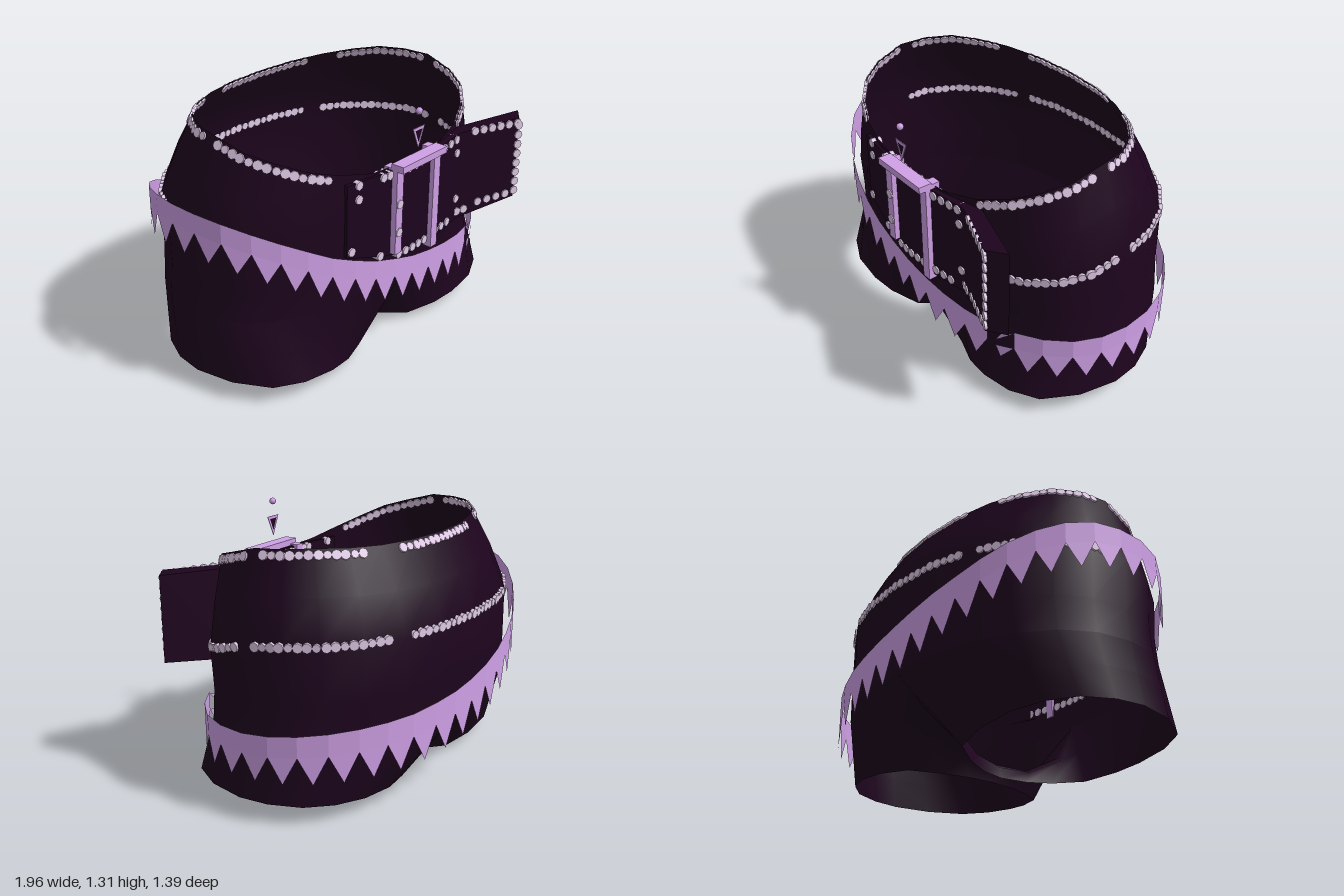
import * as THREE from 'three';
import { mergeGeometries } from 'three/addons/utils/BufferGeometryUtils.js';

const V = (x, y, z) => new THREE.Vector3(x, y, z);
const lerp = THREE.MathUtils.lerp;
const spow = (v, e) => Math.sign(v) * Math.abs(v) ** e;

// Piecewise linear lookup in a short list of [input, output] pairs
function lookup(table, v) {
  if (v <= table[0][0]) return table[0][1];
  for (let i = 1; i < table.length; i++) {
    const [a, b] = [table[i - 1], table[i]];
    if (v <= b[0]) return lerp(a[1], b[1], (v - a[0]) / (b[0] - a[0]));
  }
  return table[table.length - 1][1];
}

// Skin over closed loops with equal point counts
function loft(loops, caps = false) {
  const n = loops[0].length, idx = [];
  for (let r = 0; r < loops.length - 1; r++) for (let i = 0; i < n; i++) {
    const j = (i + 1) % n, a = r * n + i, b = r * n + j;
    idx.push(a, a + n, b, b, a + n, b + n);
  }
  if (caps) for (let i = 1; i < n - 1; i++) {
    const e = (loops.length - 1) * n;
    idx.push(0, i, i + 1, e, e + i + 1, e + i);
  }
  const g = new THREE.BufferGeometry().setFromPoints(loops.flat());
  g.setIndex(idx);
  g.computeVertexNormals();
  return g;
}

// Oval rings from waistband to hip: half width, front z, back z, centre z
const RINGS = [
  [0.79, 0.55, -0.44, 0.06], [0.865, 0.55, -0.56, 0.05], [0.935, 0.54, -0.64, 0.03],
  [0.93, 0.53, -0.64, 0.02], [0.95, 0.53, -0.62, 0.01],
];
const STEP = Math.PI / 12;
const RIM = [[-0.44, 1.265], [-0.2, 1.285], [0.08, 1.27], [0.37, 1.18], [0.5, 1.09], [0.55, 1.04]];
const SEAM = [[-0.6, 0.885], [-0.05, 0.87], [0.08, 0.84], [0.5, 0.71], [0.55, 0.69]];

// Oval with a squarer front and a rounder back
function oval(t, [a, zf, zb, cz]) {
  const c = Math.cos(t), e = 2 / (c > 0 ? 2.45 : 2.15), k = spow(c, e);
  return V(a * spow(Math.sin(t), e), 0, cz + k * (c > 0 ? zf - cz : cz - zb));
}
function bodyPoint(t, row) {
  const pt = oval(t, RINGS[row]);
  const rim = lookup(RIM, oval(t, RINGS[0]).z), seam = lookup(SEAM, oval(t, RINGS[2]).z);
  pt.y = [rim, (rim + seam) / 2, seam, lerp(seam, 0.42, 0.6), 0.42][row];
  return pt;
}
// Point on the faceted cloth, a fraction of the way down to the next ring
function clothPoint(t, row, down) {
  const i = Math.floor(t / STEP), k = t / STEP - i;
  const edge = r => bodyPoint(i * STEP, r).lerp(bodyPoint((i + 1) * STEP, r), k);
  return edge(row).lerp(edge(row + 1), down);
}

// Leg opening outline, outer front to outer back, then inner thigh
const HEM = [[0.2, 0.42], [0.36, 0.485], [0.5, 0.505], [0.68, 0.49], [0.83, 0.42], [0.93, 0.25], [0.97, 0.05],
  [0.95, -0.1], [0.88, -0.25], [0.76, -0.35], [0.6, -0.41], [0.4, -0.42], [0.22, -0.38],
  [0.12, -0.25], [0.06, -0.12], [0.04, 0], [0.06, 0.15], [0.11, 0.28]];
const CROTCH = [[0.27, -0.43], [0.13, -0.2], [0.09, 0], [0.1, 0.2], [0.22, 0.42]];

function legGeometry(side) {
  const top = [];
  for (let i = 0; i <= 12; i++) top.push(bodyPoint(i * STEP, 4));
  CROTCH.forEach(([y, z]) => top.push(V(0, y, z)));
  const hem = HEM.map(([x, z]) => V(x, 0.005 + 0.105 * x / 0.97 + 0.06 * z * z, z));
  // The inner thigh turns down sharply beside the crotch
  const mid = top.map((p, i) => {
    const m = p.clone().lerp(hem[i], 0.5);
    if (i > 12) m.set(hem[i].x * 0.85, lerp(p.y, hem[i].y, 0.3), m.z);
    return m;
  });
  return loft([top, mid, hem].map(l => l.map(p => V(p.x * side, p.y, p.z))));
}

// Flat round stud facing along a direction
function stud(pos, dir, r, depth) {
  const o = new THREE.Object3D();
  o.position.copy(pos);
  o.lookAt(pos.clone().add(dir));
  o.scale.set(r, r, depth);
  o.updateMatrix();
  return new THREE.CylinderGeometry(1, 1, 1, 8).rotateX(Math.PI / 2).applyMatrix4(o.matrix);
}

function studRow(ranges, row, down) {
  const out = [];
  for (const [t0, t1] of ranges) {
    let last = null;
    for (let t = t0; t <= t1; t += 0.004) {
      const p = clothPoint(t, row, down);
      if (last && p.distanceTo(last) < 0.041) continue;
      last = p;
      const along = clothPoint(t + 0.01, row, down).sub(p), fall = clothPoint(t, row, down + 0.1).sub(p);
      out.push(stud(p, fall.cross(along), out.length % 3 ? 0.024 : 0.02, 0.018));
    }
  }
  return mergeGeometries(out);
}

// Front belt stations: x, front z, back x, back z, bottom y, top y
const BELT = [
  [-0.43, 0.525, -0.42, 0.49, 0.67, 1.04], [-0.2, 0.56, -0.2, 0.53, 0.6, 1.04],
  [0, 0.575, 0, 0.54, 0.55, 1.04], [0.2, 0.567, 0.2, 0.53, 0.55, 1.04],
  [0.42, 0.55, 0.47, 0.485, 0.57, 1.05], [0.75, 0.685, 0.84, 0.62, 0.625, 1.07],
];
const BELT_Z = BELT.map(b => [b[0], b[1]]);

// Height of the spiked sash's top edge
const SASH = [[-1, 0.98], [-0.8, 0.865], [-0.5, 0.7], [-0.25, 0.605], [0, 0.535], [0.2, 0.5], [0.5, 0.465], [1, 0.45]];

function sashGeometry() {
  const pts = [];
  for (let i = 0; i < 96; i++) {
    const p = oval(i * Math.PI / 48, [0.98, 0.59, -0.685, 0]);
    p.y = lookup(SASH, p.x) + Math.max(0, -p.z) * 0.09;
    pts.push(p);
  }
  const curve = new THREE.CatmullRomCurve3(pts, true), n = 38, tri = [];
  const down = (p, d) => V(p.x, p.y - d, p.z);
  // The band is a little deeper at the back
  const drop = (p, d) => down(p, d * (1 + Math.max(0, -p.z) * 0.25));
  for (let i = 0; i < n; i++) {
    const [a, m, b] = [0, 0.5, 1].map(k => curve.getPointAt(((i + k) / n) % 1));
    if (m.z > 0 && m.x > 0.52 && m.x < 0.69) {
      // broken stretch with loose shards
      const c = a.clone().lerp(b, 0.3);
      tri.push(down(a, 0.01), down(c, 0.045), down(m, 0.01), down(m, 0.04), down(c, 0.09), down(b, 0.01),
        down(c, 0.12), down(m, 0.18), down(b, 0.1));
      continue;
    }
    const [la, lb] = [drop(a, 0.1), drop(b, 0.1)];
    tri.push(a, la, b, b, la, lb, la, drop(m, 0.225), lb);
  }
  const g = new THREE.BufferGeometry().setFromPoints(tri);
  g.computeVertexNormals();
  return g;
}

export function createModel() {
  const group = new THREE.Group();
  const mat = (name, color, side = THREE.FrontSide) => {
    const m = new THREE.MeshStandardMaterial({ color, side });
    m.name = name;
    return m;
  };
  const cloth = mat('darkPlum', 0x1d041d, THREE.DoubleSide);
  const lilac = mat('lilac', 0xcfa0e6, THREE.DoubleSide);
  const pale = mat('paleLilac', 0xe4cdeb);
  const add = (name, geo, m) => {
    const mesh = new THREE.Mesh(geo, m);
    mesh.name = name;
    group.add(mesh);
  };

  // Shorts
  add('shortsBody', loft(RINGS.map((_, r) =>
    Array.from({ length: 24 }, (_, i) => bodyPoint(i * STEP, r)))), cloth);
  add('leftLeg', legGeometry(1), cloth);
  add('rightLeg', legGeometry(-1), cloth);

  // Stud rows on waistband and hip
  const TAU = Math.PI * 2;
  const rimHalf = [[0.55, 1.53], [1.66, 2.5]];
  const rimRanges = [...rimHalf, [2.77, 3.52], ...rimHalf.map(([a, b]) => [TAU - b, TAU - a])];
  add('waistbandStuds', studRow(rimRanges, 0, 0.14), pale);
  add('hipStuds', studRow([[0.62, 1.5], [1.66, 2.55], [2.68, 3.6], [3.73, 4.6]], 2, 0), pale);

  // Front belt with its loose end
  const belt = loft(BELT.map(([x, z, bx, bz, y0, y1]) =>
    [V(x, y0, z), V(x, y1, z), V(bx, y1, bz), V(bx, y0, bz)]), true).toNonIndexed();
  belt.computeVertexNormals();
  add('frontBelt', belt, cloth);

  // Belt studs as lines: x0, y0, x1, y1, count; those on the body pass through the cloth
  const lines = [[-0.36, 1.025, -0.36, 0.955, 2], [-0.21, 1.02, -0.17, 1.02, 2], [-0.08, 1.015, 0.11, 1.02, 5],
    [0.21, 1.015, 0.38, 1.025, 4], [0.39, 0.95, 0.4, 0.69, 2], [0.5, 1.045, 0.74, 1.045, 6],
    [0.75, 1.03, 0.75, 0.66, 8], [0.54, 0.64, 0.7, 0.65, 4], [0.21, 0.585, 0.32, 0.59, 3],
    [0.42, 0.61, 0.46, 0.615, 2], [-0.09, 0.575, 0.11, 0.575, 5], [-0.4, 0.695, -0.22, 0.61, 2]];
  const beltStuds = [];
  for (const [x0, y0, x1, y1, n] of lines) for (let i = 0; i < n; i++) {
    const k = i / (n - 1), x = lerp(x0, x1, k), loose = x > 0.41;
    const pos = V(x, lerp(y0, y1, k), lookup(BELT_Z, x) - (loose ? 0 : 0.02));
    beltStuds.push(stud(pos, V(loose ? -0.4 : x * 0.2, 0, 1), 0.023, loose ? 0.014 : 0.055));
  }
  add('beltStuds', mergeGeometries(beltStuds), pale);

  // Buckle frame: centre x, centre y, centre z, width, height, depth
  const bars = [[-0.128, 0.825, 0.555, 0.05, 0.45, 0.08], [0.165, 0.795, 0.555, 0.05, 0.54, 0.08],
    [0.018, 1.056, 0.595, 0.345, 0.034, 0.07]];
  for (const [x, y, z, w, h, d] of bars)
    add('buckleBar', new THREE.BoxGeometry(w, h, d).translate(x, y, z), lilac);
  const rivets = [0.865, 0.715].map(y => stud(V(-0.128, y, 0.595), V(0, 0, 1), 0.024, 0.012));
  add('buckleRivets', mergeGeometries(rivets), pale);

  // Spiked sash
  add('spikedSash', sashGeometry(), lilac);

  // Floating charm: flat triangle frame, dark centre and bead
  const triangle = (s, path) => [[-0.045, 1.22], [0.045, 1.22], [0, 1.115]].forEach(([x, y], i) =>
    path[i ? 'lineTo' : 'moveTo'](x * s, 1.185 + (y - 1.185) * s));
  const frame = new THREE.Shape(), centre = new THREE.Shape();
  triangle(1, frame);
  triangle(0.6, centre);
  frame.holes.push(centre);
  add('charmTriangle', new THREE.ExtrudeGeometry(frame, { depth: 0.004, bevelEnabled: false })
    .translate(0, 0, 0.592), lilac);
  add('charmCentre', new THREE.ShapeGeometry(centre).translate(0, 0, 0.594), cloth);
  add('charmBead', new THREE.SphereGeometry(0.018, 8, 6).translate(0, 1.3, 0.593), lilac);

  return group;
}
